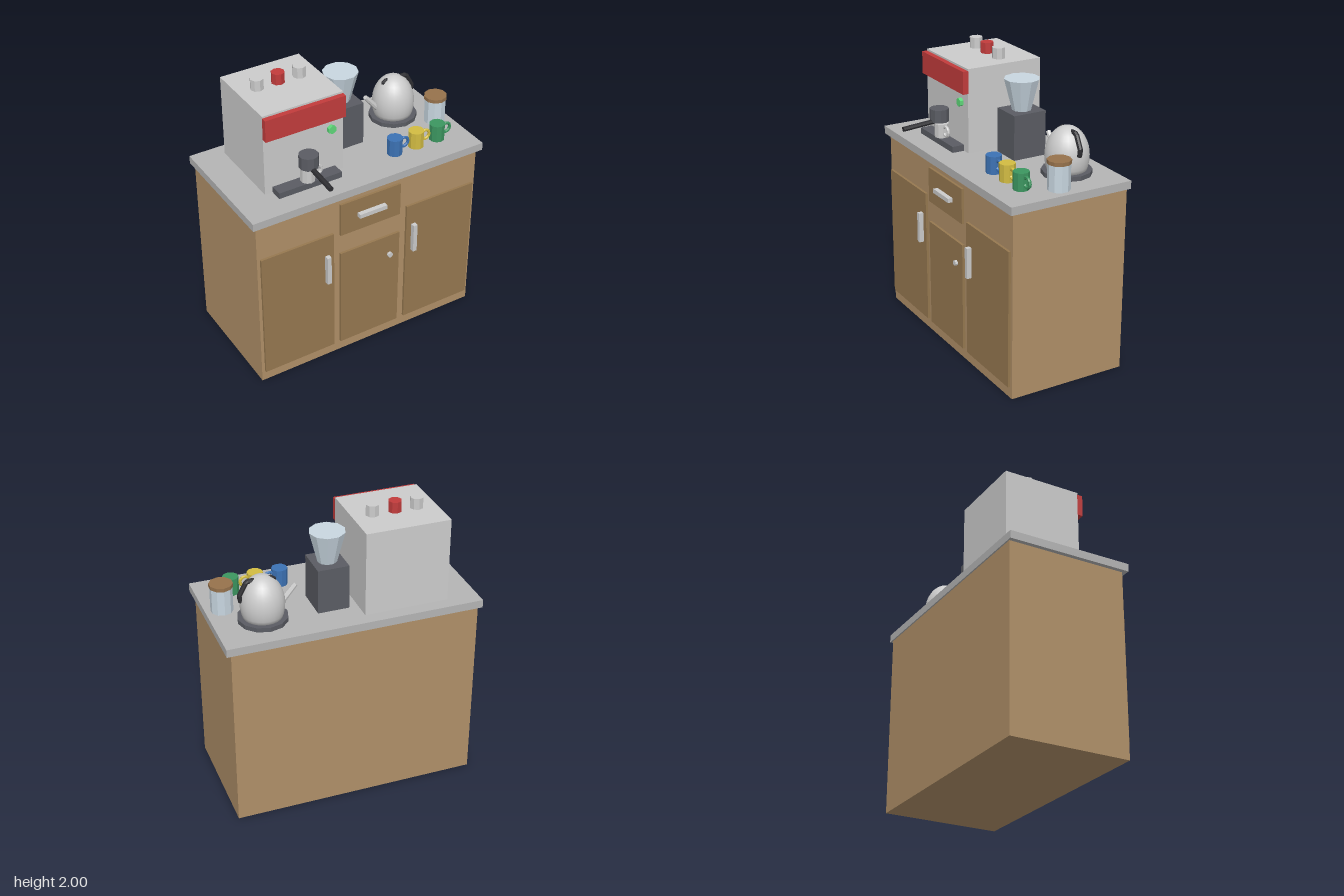
import * as THREE from 'three';

const mat = (color, flatShading = true) => new THREE.MeshStandardMaterial({ color, flatShading });
const M = {
  grey: mat(0xcccccc), steel: mat(0xcccccc, false), wood: mat(0xb09068), door: mat(0x967850),
  top: mat(0xb4b4b4), dark: mat(0x5a5c63), black: mat(0x2e2e32), red: mat(0xc23c3c),
  green: mat(0x3c9660), lamp: mat(0x5fd87a), blue: mat(0x3c72b4), yellow: mat(0xd2bc42),
  glass: mat(0xc8d6e0), lid: mat(0x96724c),
};

export function createModel() {
  const root = new THREE.Group();

  const add = (name, geometry, material, parent = root) => {
    const mesh = new THREE.Mesh(geometry, material);
    mesh.name = name;
    parent.add(mesh);
    return mesh;
  };
  const group = (name, x = 0, y = 0, z = 0) => {
    const g = new THREE.Group();
    g.name = name;
    g.position.set(x, y, z);
    root.add(g);
    return g;
  };
  // Box given by its limits on each axis
  const box = (name, [x0, x1], [y0, y1], [z0, z1], material, parent) => {
    const m = add(name, new THREE.BoxGeometry(x1 - x0, y1 - y0, z1 - z0), material, parent);
    m.position.set((x0 + x1) / 2, (y0 + y1) / 2, (z0 + z1) / 2);
    return m;
  };
  // Upright cylinder from y0 to y1
  const cyl = (name, x, z, [y0, y1], rTop, rBottom, sides, material, parent) => {
    const m = add(name, new THREE.CylinderGeometry(rTop, rBottom, y1 - y0, sides), material, parent);
    m.position.set(x, (y0 + y1) / 2, z);
    return m;
  };
  // Straight rod between two points
  const rod = (name, a, b, rA, rB, sides, material, parent) => {
    const p = new THREE.Vector3(...a), q = new THREE.Vector3(...b);
    const d = q.clone().sub(p);
    const m = add(name, new THREE.CylinderGeometry(rB, rA, d.length(), sides), material, parent);
    m.position.copy(p).add(q).multiplyScalar(0.5);
    m.quaternion.setFromUnitVectors(new THREE.Vector3(0, 1, 0), d.normalize());
    return m;
  };
  const C = 1.345; // counter surface height

  // Cabinet with doors, drawer and handles
  const cabinet = group('cabinet');
  box('cabinetBody', [-0.84, 0.84], [0, 1.29], [-0.48, 0.36], M.wood, cabinet);
  box('countertop', [-0.87, 0.87], [1.29, C], [-0.49, 0.39], M.top, cabinet);
  for (const [side, name] of [[-1, 'right'], [1, 'left']]) {
    const span = (a, b) => [Math.min(side * a, side * b), Math.max(side * a, side * b)];
    box(name + 'Door', span(0.283, 0.818), [0.08, 1.03], [0.35, 0.377], M.door, cabinet);
    box(name + 'DoorHandle', span(0.322, 0.352), [0.66, 0.875], [0.377, 0.41], M.grey, cabinet);
  }
  box('middleDoor', [-0.232, 0.228], [0.08, 0.845], [0.35, 0.377], M.door, cabinet);
  box('drawer', [-0.232, 0.228], [0.995, 1.24], [0.35, 0.377], M.door, cabinet);
  box('drawerHandle', [-0.105, 0.103], [1.105, 1.135], [0.377, 0.41], M.grey, cabinet);
  rod('doorKnob', [0.15, 0.69, 0.37], [0.15, 0.69, 0.395], 0.019, 0.019, 8, M.grey, cabinet);

  // Coffee machine
  const machine = group('coffeeMachine');
  box('machineBody', [-0.655, -0.08], [C, 1.925], [-0.4, 0.153], M.grey, machine);
  box('frontPanel', [-0.655, -0.08], [1.757, 1.912], [0.15, 0.19], M.red, machine);
  box('dripTray', [-0.6, -0.14], [C, 1.387], [0.15, 0.24], M.dark, machine);
  [[-0.52, M.grey], [-0.37, M.red], [-0.215, M.grey]].forEach(([x, m]) =>
    cyl('topKnob', x, -0.157, [1.92, 2], 0.045, 0.045, 8, m, machine));
  rod('powerButton', [-0.17, 1.68, 0.15], [-0.17, 1.68, 0.178], 0.03, 0.03, 6, M.lamp, machine);
  cyl('brewHead', -0.37, 0.215, [1.5, 1.59], 0.066, 0.066, 10, M.dark, machine);
  rod('filterHandle', [-0.37, 1.505, 0.22], [-0.37, 1.485, 0.488], 0.018, 0.018, 8, M.black, machine);

  // Cups share one body with a ring handle on their left
  const cup = (name, x, y, z, r, h, m) => {
    const g = group(name, x, y, z);
    cyl('cupBody', 0, 0, [0, h], r, r * 0.98, 10, m, g);
    add('cupHandle', new THREE.TorusGeometry(0.034, 0.011, 6, 12), m, g).position.set(r + 0.016, h * 0.53, 0);
  };
  cup('espressoCup', -0.37, 1.387, 0.2, 0.05, 0.096, M.grey);
  cup('blueMug', 0.303, C, 0.182, 0.054, 0.12, M.blue);
  cup('yellowMug', 0.472, C, 0.182, 0.054, 0.12, M.yellow);
  cup('greenMug', 0.64, C, 0.182, 0.054, 0.12, M.green);

  // Grinder
  const grinder = group('grinder');
  box('grinderBody', [-0.018, 0.195], [C, 1.652], [-0.275, -0.035], M.dark, grinder);
  cyl('hopper', 0.089, -0.155, [1.65, 1.865], 0.12, 0.065, 10, M.glass, grinder).rotation.y = Math.PI / 2;

  // Storage jar
  const jar = group('jar');
  cyl('jarBody', 0.76, -0.018, [C, 1.522], 0.074, 0.074, 10, M.glass, jar);
  cyl('jarLid', 0.76, -0.018, [1.52, 1.545], 0.079, 0.079, 10, M.lid, jar);

  // Kettle on its base
  const kettle = group('kettle', 0.547, C, -0.215);
  cyl('kettleBase', 0, 0, [0, 0.03], 0.166, 0.166, 12, M.dark, kettle);
  const profile = [new THREE.Vector2(0, 0.025)];
  for (let i = 0; i <= 12; i++) {
    const a = -0.5 + (i / 12) * (Math.PI / 2 + 0.5);
    profile.push(new THREE.Vector2(Math.max(0, 0.145 * Math.cos(a)), 0.12 + 0.2 * Math.sin(a)));
  }
  add('kettleBody', new THREE.LatheGeometry(profile, 24), M.steel, kettle);
  rod('kettleSpout', [-0.1, 0.07, 0], [-0.225, 0.215, 0], 0.022, 0.016, 8, M.grey, kettle);
  const path = new THREE.CurvePath();
  const pts = [[-0.08, 0.24], [-0.075, 0.292], [0.1, 0.292], [0.15, 0.2], [0.14, 0.155]]
    .map(([x, y]) => new THREE.Vector3(x, y, 0));
  for (let i = 1; i < pts.length; i++) path.add(new THREE.LineCurve3(pts[i - 1], pts[i]));
  add('kettleHandle', new THREE.TubeGeometry(path, 24, 0.017, 8), M.black, kettle);

  return root;
}
